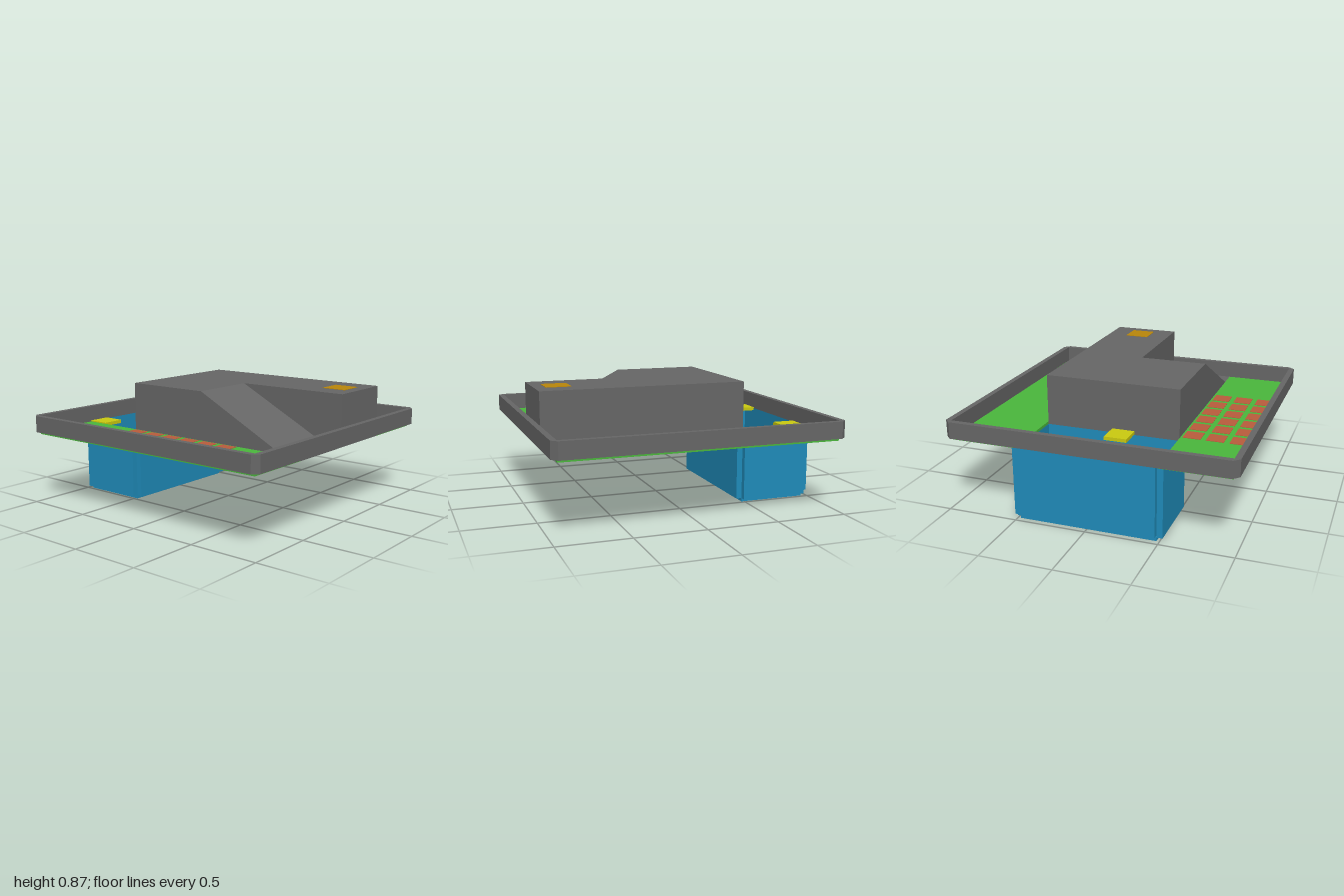
import * as THREE from 'three';

const mat = (color) => new THREE.MeshStandardMaterial({ color, flatShading: true });
const GREY = mat(0x666666), GREEN = mat(0x4ab63c), BLUE = mat(0x1f8bb9);
const YELLOW = mat(0xc9c910), ORANGE = mat(0xb8860b), RED = mat(0xb85c3c);

export function createModel() {
  const model = new THREE.Group();

  const add = (name, geometry, material) => {
    const mesh = new THREE.Mesh(geometry, material);
    mesh.name = name;
    model.add(mesh);
    return mesh;
  };

  // Box given by its minimum and maximum on each axis
  const box = (name, material, [x0, x1], [y0, y1], [z0, z1]) => {
    const mesh = add(name, new THREE.BoxGeometry(x1 - x0, y1 - y0, z1 - z0), material);
    mesh.position.set((x0 + x1) / 2, (y0 + y1) / 2, (z0 + z1) / 2);
    return mesh;
  };

  const shapeOf = (points) => new THREE.Shape(points.map(([x, y]) => new THREE.Vector2(x, y)));

  // Raised border with clipped outer corners
  const o = 1, c = 0.96;
  const border = shapeOf([[-c, -o], [c, -o], [o, -c], [o, c], [c, o], [-c, o], [-o, c], [-o, -c]]);
  border.holes.push(shapeOf([[-c, -c], [-c, c], [c, c], [c, -c]]));
  const borderGeometry = new THREE.ExtrudeGeometry(border, { depth: 0.117, bevelEnabled: false });
  borderGeometry.rotateX(-Math.PI / 2).translate(0, 0.525, 0);
  add('border', borderGeometry, GREY);

  // Lawns along the back and the front
  const ground = [0.505, 0.525];
  box('backLawn', GREEN, [-c, c], ground, [-c, -0.48]);
  box('frontLawn', GREEN, [-c, c], ground, [0.48, c]);

  // Building: full-length rear half, front half with a ramp down to the ground
  box('buildingRear', GREY, [-0.48, c], [0.505, 0.865], [-0.48, 0]);
  const ramp = shapeOf([[-0.48, 0.505], [c, 0.505], [c, 0.525], [0.81, 0.525], [0.145, 0.865], [-0.48, 0.865]]);
  add('buildingRamp', new THREE.ExtrudeGeometry(ramp, { depth: 0.48, bevelEnabled: false }), GREY);

  // Sunken basin, open at the top, its walls leaving the corners notched
  box('basinFloor', BLUE, [-c, -0.48], [0, 0.025], [-0.48, 0.48]);
  box('basinOuterWall', BLUE, [-1, -c], [0.04, 0.525], [-0.48, 0.48]);
  box('basinInnerWall', BLUE, [-0.48, -0.44], [0.025, 0.505], [-0.48, 0.48]);
  for (const side of [-1, 1]) {
    const z = [side * 0.48, side * 0.52].sort((a, b) => a - b);
    box('basinEndWall', BLUE, [-c, -0.48], [0.025, 0.505], z);
  }

  // Platforms over the basin
  for (const [x, z] of [[-0.96, -0.485], [-0.64, 0], [-0.96, 0.32]]) {
    box('platform', YELLOW, [x, x + 0.16], [0.508, 0.533], [z, z + 0.16]);
  }

  // Square pads on the roof and the back lawn
  box('roofPad', ORANGE, [0.71, 0.885], [0.86, 0.868], [-0.33, -0.155]);
  box('lawnPad', ORANGE, [0.715, 0.88], [0.52, 0.528], [-0.805, -0.64]);

  // Rows of paving tiles on the front lawn
  for (let row = 0; row < 3; row++) {
    for (let col = 0; col < 6; col++) {
      const x = -0.465 + col * 0.161, z = 0.495 + row * 0.16;
      box('pavingTile', RED, [x, x + 0.123], [0.52, 0.528], [z, z + 0.123]);
    }
  }

  return model;
}
